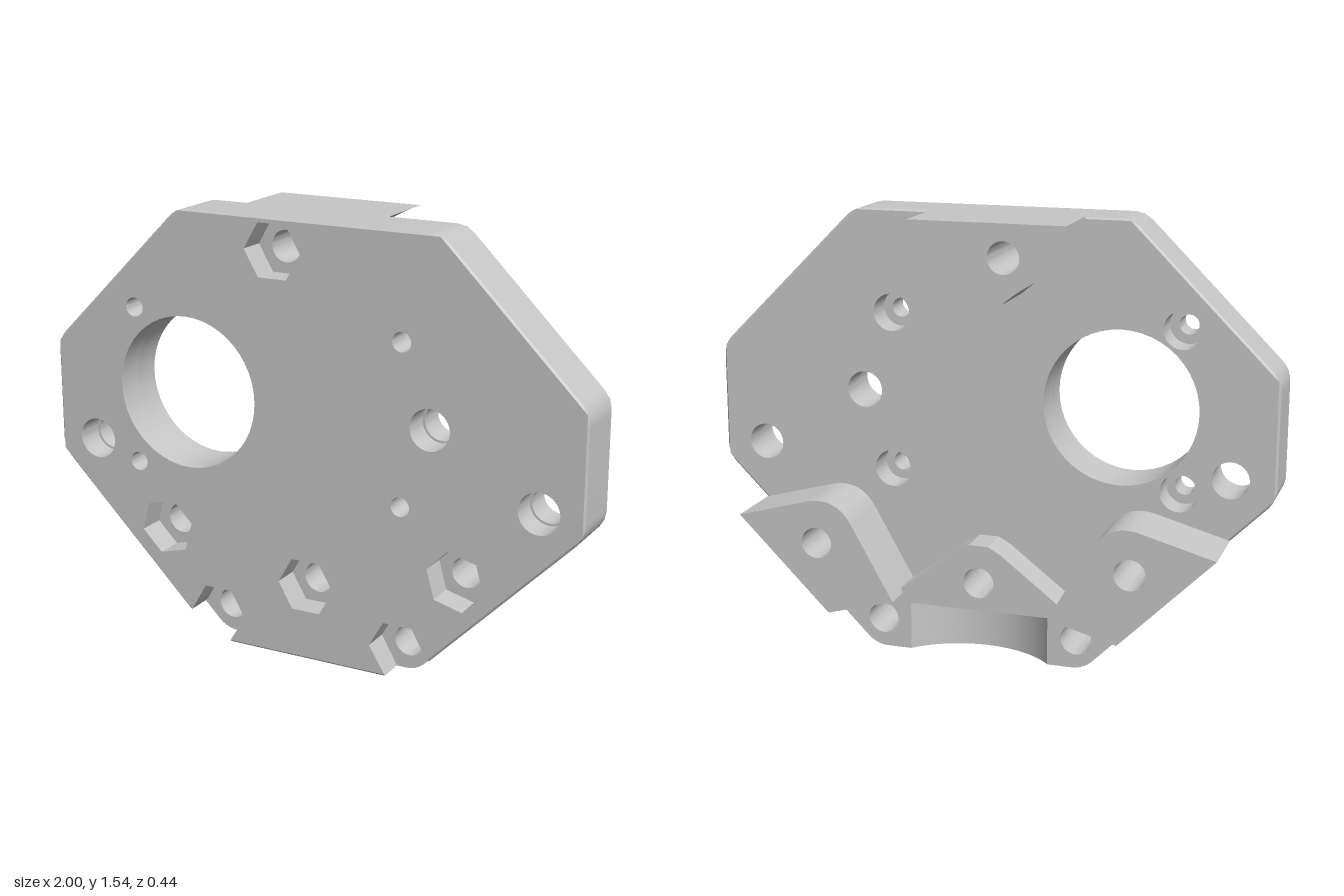
import * as THREE from 'three';
import { toCreasedNormals } from 'three/addons/utils/BufferGeometryUtils.js';

const FRONT = 0.218, POCKET = 0.118, PLATE_BACK = 0.014, BLOCK_BACK = -0.218, LOW_BACK = -0.112;
const BEVEL = 0.007, BOLT = 0.055;
const bolts = [[-0.12, 1.428, 0], [0, 0.27, 0], [0.56, 0.393, -0.26], [-0.56, 0.393, 0.26]];
const lowBolts = [[0.352, 0.104], [-0.352, 0.104]];

// closed shape from [x, y, cut]; cut rounds the corner
function polygon(points) {
  const shape = new THREE.Shape();
  const n = points.length;
  points.forEach(([x, y, cut = 0], i) => {
    const p = new THREE.Vector2(x, y);
    const toward = (q) => new THREE.Vector2(q[0], q[1]).sub(p).setLength(cut).add(p);
    const a = toward(points[(i + n - 1) % n]);
    const b = toward(points[(i + 1) % n]);
    if (i === 0) shape.moveTo(a.x, a.y); else shape.lineTo(a.x, a.y);
    if (cut) shape.quadraticCurveTo(x, y, b.x, b.y);
  });
  shape.closePath();
  return shape;
}

// right half given from top to bottom, mirrored to the left
const mirrored = (half) => polygon([...half, ...half.map(([x, y, c]) => [-x, y, c]).reverse()]);

// holes run counter-clockwise so their walls face inward
function drill(shape, x, y, r) {
  const hole = new THREE.Path();
  hole.absarc(x, y, r, 0, Math.PI * 2, false);
  shape.holes.push(hole);
}

function hexPocket(shape, x, y, turn) {
  const pts = [];
  for (let i = 0; i < 6; i++) {
    const a = turn + i * Math.PI / 3;
    pts.push(new THREE.Vector2(x + 0.106 * Math.cos(a), y + 0.106 * Math.sin(a)));
  }
  shape.holes.push(new THREE.Path(pts));
}

// outline edges as [normal x, normal y, offset], for |x|
const S = Math.SQRT1_2;
const edges = [[1, 0, 1], [0, 1, 1.54], [0, -1, 0], [S, S, 2.03 * S], [S, -S, 0.38 * S]];

// pull the rim of one cap inward to bevel it
function bevelRim(geometry, z) {
  const p = geometry.attributes.position;
  for (let i = 0; i < p.count; i++) {
    if (Math.abs(p.getZ(i) - z) > 1e-4) continue;
    const side = Math.sign(p.getX(i)) || 1;
    let x = Math.abs(p.getX(i)), y = p.getY(i);
    for (const [nx, ny, d] of edges) {
      const over = nx * x + ny * y - (d - BEVEL);
      if (over > 0) { x -= nx * over; y -= ny * over; }
    }
    p.setXY(i, side * x, y);
  }
}

export function createModel() {
  const group = new THREE.Group();
  const grey = new THREE.MeshStandardMaterial({ color: 0xc6c6c6 });
  grey.name = 'plain grey';

  function add(name, geometry) {
    const mesh = new THREE.Mesh(toCreasedNormals(geometry, 0.5), grey);
    mesh.name = name;
    group.add(mesh);
  }
  function slab(name, shape, z0, z1, bevelZ) {
    const g = new THREE.ExtrudeGeometry(shape, { depth: z1 - z0, bevelEnabled: false, curveSegments: 24 });
    g.translate(0, 0, z0);
    if (bevelZ !== undefined) bevelRim(g, bevelZ);
    g.computeVertexNormals();
    add(name, g);
  }

  // octagon, with a notched version for the front layer
  const upper = [[0.49, 1.54, 0.045], [1, 1.03, 0.045], [1, 0.62, 0.045]];
  const backShape = mirrored([...upper, [0.38, 0, 0.045]]);
  const frontShape = mirrored([...upper, [0.47, 0.09], [0.458, 0.104], [0.405, 0.196],
    [0.299, 0.196], [0.246, 0.104], [0.305, 0]]);

  // holes shared by both layers, stepped where the layers meet
  for (const [shape, large, small] of [[frontShape, 0.072, 0.034], [backShape, 0.064, 0.066]]) {
    drill(shape, -0.463, 0.9, 0.27);
    for (const [x, y] of [[0.46, 0.9], [0.845, 0.68], [-0.845, 0.68]]) drill(shape, x, y, large);
    for (const x of [-0.67, 0.357]) for (const y of [0.62, 1.18]) drill(shape, x, y, small);
  }
  for (const [x, y, turn] of bolts) {
    hexPocket(frontShape, x, y, turn);
    drill(backShape, x, y, BOLT);
  }
  for (const [x, y] of lowBolts) drill(backShape, x, y, BOLT);

  slab('plateFrontRim', frontShape, FRONT - BEVEL, FRONT, FRONT);
  slab('plateFront', frontShape, POCKET, FRONT - BEVEL);
  slab('plateBack', backShape, PLATE_BACK + BEVEL, POCKET);
  slab('plateBackRim', backShape, PLATE_BACK, PLATE_BACK + BEVEL, PLATE_BACK);

  // top block, hollowed by two clearance arcs
  const top = new THREE.Shape();
  top.moveTo(-0.33, 1.54);
  top.lineTo(0.21, 1.54);
  top.absarc(0.46, 0.9, 0.687, Math.atan2(0.64, -0.25), Math.atan2(0.375, -0.576), false);
  top.absarc(-0.46, 0.9, 0.508, Math.atan2(0.375, 0.344), Math.atan2(0.49, 0.13), false);
  top.closePath();
  drill(top, ...bolts[0].slice(0, 2), BOLT);
  slab('topBlock', top, BLOCK_BACK, PLATE_BACK + BEVEL);

  // side blocks, rounded about their bolts
  for (const s of [1, -1]) {
    const wing = polygon([[0.85 * s, 0.47], [0.485 * s, 0.571, 0.117], [0.279 * s, 0.206], [0.52 * s, 0.14]]);
    drill(wing, 0.56 * s, 0.393, BOLT);
    slab(s > 0 ? 'leftBlock' : 'rightBlock', wing, BLOCK_BACK, PLATE_BACK + BEVEL);
  }

  // low bridge between the side blocks, arched over a recess
  const bridge = mirrored([[0.035, 0.405], [0.08, 0.38], [0.285, 0.222], [0.52, 0.14],
    [0.38, 0, 0.045], [0.25, 0], [0.25, 0.17]]);
  for (const [x, y] of [[0, 0.27], ...lowBolts]) drill(bridge, x, y, BOLT);
  slab('lowerBridge', bridge, LOW_BACK, PLATE_BACK + BEVEL);

  // curved wall of the recess, standing upright
  const wall = new THREE.Shape();
  const end = Math.atan2(-0.232, 0.25);
  wall.moveTo(0.25, -0.02);
  wall.lineTo(-0.25, -0.02);
  wall.absarc(0, 0.342, 0.341, -Math.PI - end, end, false);
  wall.closePath();
  const wallGeometry = new THREE.ExtrudeGeometry(wall, { depth: 0.17, bevelEnabled: false, curveSegments: 24 });
  wallGeometry.rotateX(-Math.PI / 2);
  add('recessWall', wallGeometry);

  return group;
}
